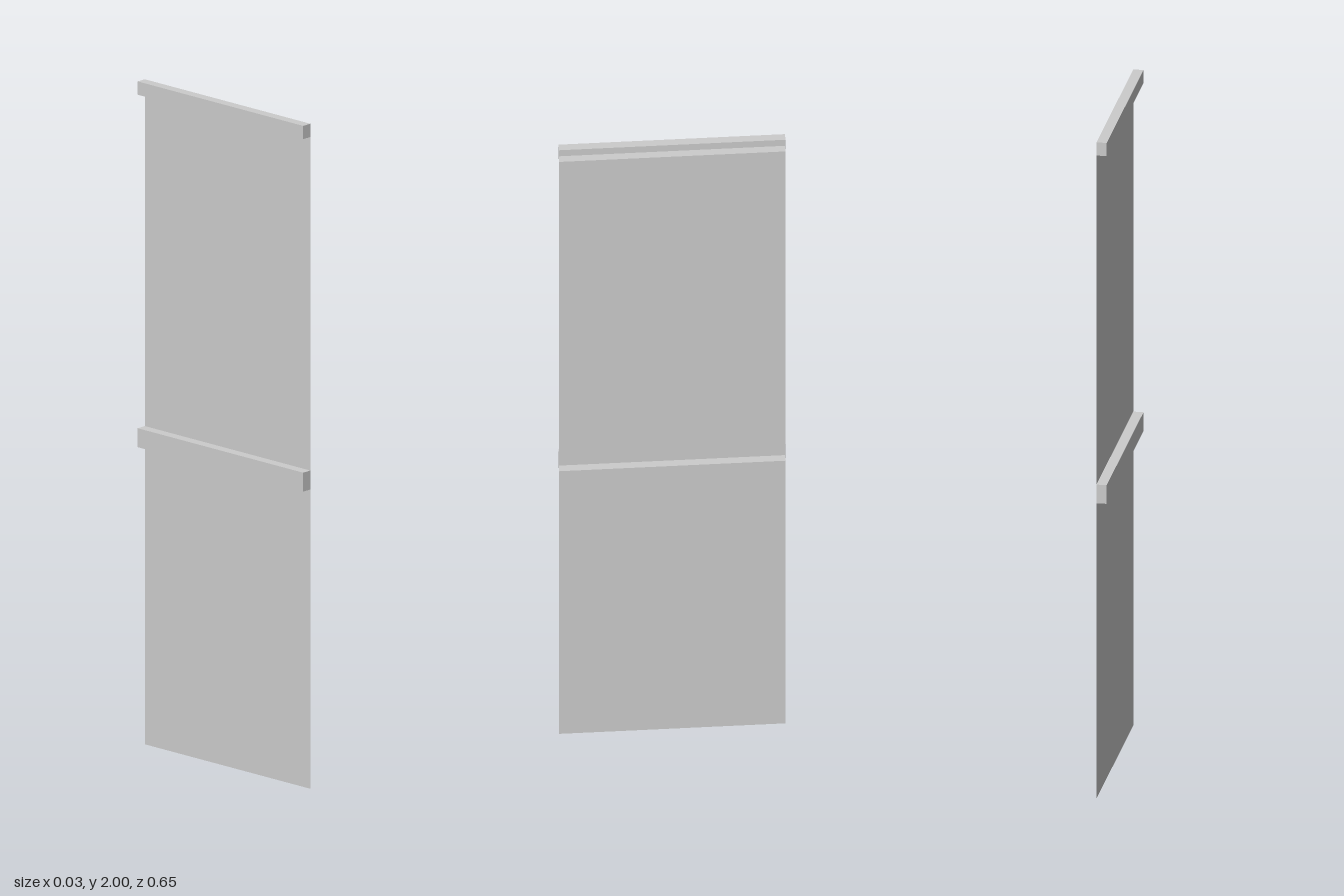
import * as THREE from 'three';

const DEPTH = 0.655; // extent along z
const THICK = 0.03;  // rail thickness along x
const material = new THREE.MeshStandardMaterial({ color: 0xcccccc, side: THREE.DoubleSide, flatShading: true });

// Thin-walled rail: a box with its +x face left open
function rail(name, y0, y1) {
  const geometry = new THREE.BoxGeometry(THICK, y1 - y0, DEPTH);
  geometry.setIndex(Array.from(geometry.index.array).slice(6)); // drop the +x face
  geometry.clearGroups();
  const mesh = new THREE.Mesh(geometry, material);
  mesh.name = name;
  mesh.position.y = (y0 + y1) / 2;
  return mesh;
}

// Flat sheet, flush with the open side of the rails
function panel(name, y0, y1) {
  const mesh = new THREE.Mesh(new THREE.PlaneGeometry(DEPTH, y1 - y0), material);
  mesh.name = name;
  mesh.rotation.y = Math.PI / 2;
  mesh.position.set(THICK / 2, (y0 + y1) / 2, 0);
  return mesh;
}

export function createModel() {
  const group = new THREE.Group();
  group.name = 'panelWithRails';
  group.add(
    panel('lowerPanel', 0, 0.9),
    rail('middleRail', 0.9, 0.957),
    panel('upperPanel', 0.957, 1.96),
    rail('topRail', 1.96, 2),
  );
  return group;
}
